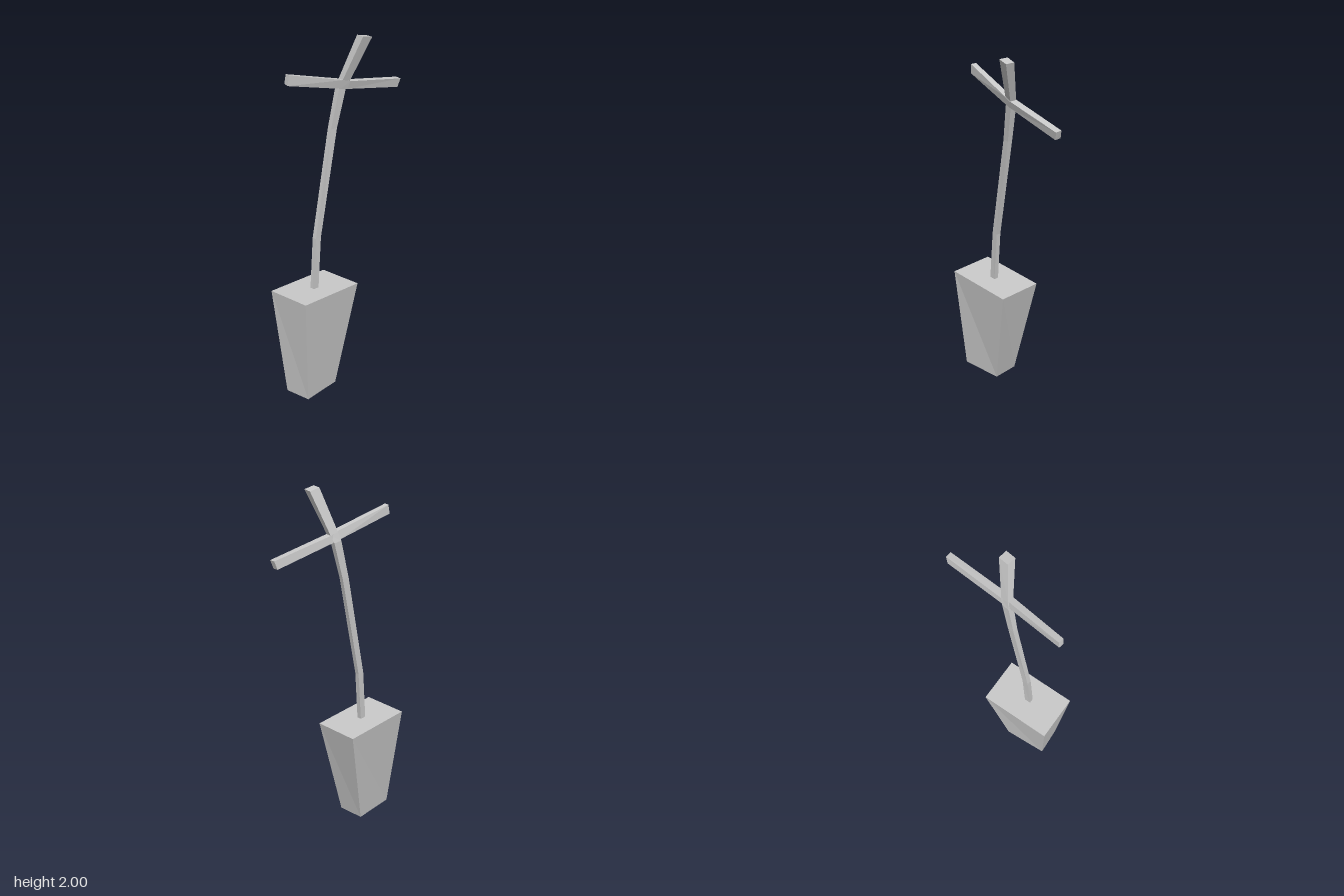
import * as THREE from 'three';

const material = new THREE.MeshStandardMaterial({ color: 0xcccccc, flatShading: true });

// Closed flat-sided loft through four-cornered rings (clockwise seen from the path's end)
function loft(name, rings) {
  const pos = [];
  const quad = (a, b, c, d) => pos.push(...a, ...b, ...c, ...a, ...c, ...d);
  for (let r = 0; r < rings.length - 1; r++) {
    for (let i = 0; i < 4; i++) {
      const j = (i + 1) % 4;
      quad(rings[r][i], rings[r + 1][i], rings[r + 1][j], rings[r][j]);
    }
  }
  quad(...rings[0]);
  quad(...[...rings[rings.length - 1]].reverse());
  const geometry = new THREE.BufferGeometry();
  geometry.setAttribute('position', new THREE.Float32BufferAttribute(pos, 3));
  geometry.computeVertexNormals();
  const mesh = new THREE.Mesh(geometry, material);
  mesh.name = name;
  return mesh;
}

// Horizontal rectangle turned by a yaw angle, sloping down towards +x
function section(x, y, z, width, depth, yaw, slope = 0) {
  const c = Math.cos(yaw), s = Math.sin(yaw);
  return [[-1, -1], [1, -1], [1, 1], [-1, 1]].map(([u, v]) => {
    const a = u * width / 2, b = v * depth / 2;
    return [x + a * c - b * s, y - slope * u, z + a * s + b * c];
  });
}

export function createModel() {
  const group = new THREE.Group();
  group.name = 'crossInPlanter';

  // Tapered, slightly skewed block base
  group.add(loft('planter', [
    [[-0.338, 0, -0.095], [-0.093, 0, -0.09], [-0.098, 0, 0.06], [-0.342, 0, 0.06]],
    section(-0.177, 0.607, -0.02, 0.413, 0.261, 0.085, 0.007),
  ]));

  // Bent stem, widening towards the tip
  group.add(loft('stem', [
    section(-0.185, 0.58, -0.018, 0.036, 0.027, 0.1),
    section(-0.161, 0.9, -0.017, 0.036, 0.027, 0.15),
    section(-0.052, 1.5, 0.006, 0.04, 0.028, 0.22),
    section(-0.01, 1.712, 0.027, 0.045, 0.034, 0.24, 0.003),
    section(0.002, 1.757, 0.042, 0.047, 0.036, 0.25, 0.006),
    section(0.057, 1.994, 0.132, 0.06, 0.05, 0.25, 0.005),
  ]));

  // Crossbar, thin at the middle and flared at both ends
  group.add(loft('crossbar', [
    [[-0.352, 1.845, -0.034], [-0.343, 1.845, -0.063], [-0.35, 1.795, -0.067], [-0.358, 1.79, -0.038]],
    [[-0.022, 1.764, 0.058], [-0.017, 1.766, 0.024], [-0.027, 1.72, 0.013], [-0.032, 1.717, 0.045]],
    [[0.023, 1.75, 0.068], [0.03, 1.752, 0.028], [0.02, 1.712, 0.02], [0.012, 1.708, 0.055]],
    [[0.385, 1.697, 0.134], [0.392, 1.7, 0.1], [0.379, 1.653, 0.09], [0.373, 1.65, 0.123]],
  ]));

  return group;
}
